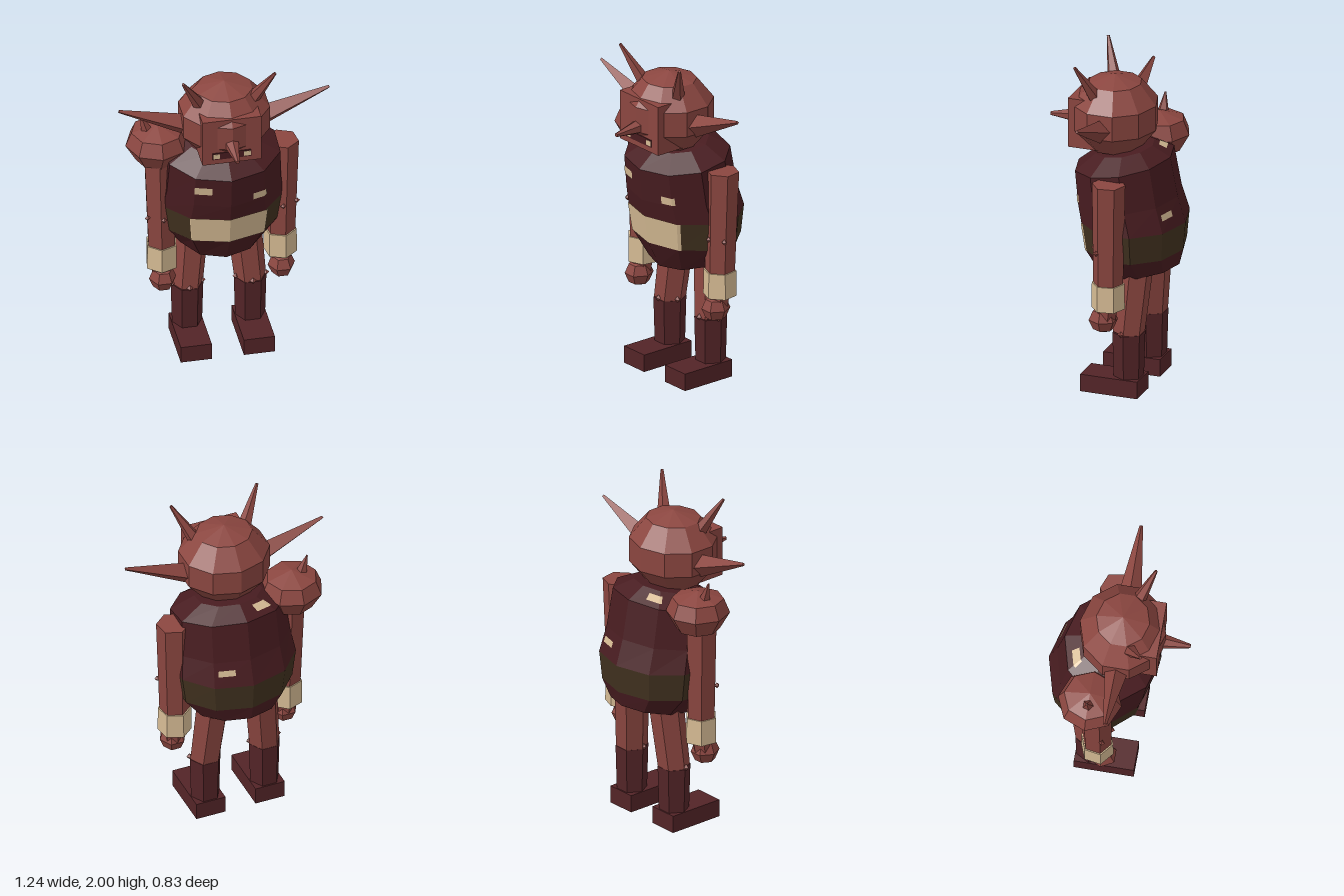
import * as THREE from 'three';

const mat = (name, color) => {
  const m = new THREE.MeshStandardMaterial({ color, flatShading: true });
  m.name = name;
  return m;
};

export function createModel() {
  const skin = mat('red skin', 0x8b4640);
  const shirt = mat('dark maroon cloth', 0x481c20);
  const boots = mat('maroon leather', 0x532427);
  const olive = mat('dark olive belt', 0x41311f);
  const cream = mat('cream cloth', 0xd6bb94);

  const model = new THREE.Group();
  model.name = 'hornedFigure';

  const add = (name, geo, material, x = 0, y = 0, z = 0, parent = model) => {
    const mesh = new THREE.Mesh(geo, material);
    mesh.name = name;
    mesh.position.set(x, y, z);
    parent.add(mesh);
    return mesh;
  };
  // Tapered rod between two points
  const rod = (name, material, from, to, r0, r1, sides, turn = 0, parent = model) => {
    const a = new THREE.Vector3(...from), b = new THREE.Vector3(...to);
    const dir = b.clone().sub(a);
    const geo = new THREE.CylinderGeometry(r1, r0, dir.length(), sides);
    geo.rotateY(turn);
    const mesh = add(name, geo, material, 0, 0, 0, parent);
    mesh.position.copy(a).add(b).multiplyScalar(0.5);
    mesh.quaternion.setFromUnitVectors(new THREE.Vector3(0, 1, 0), dir.normalize());
    return mesh;
  };

  // Torso cross-sections: x radius, z radius, height, z centre, forward tilt
  const rings = [
    [0, 0, 0.72, -0.14, 0.16],
    [0.25, 0.235, 0.72, -0.14, 0.16],
    [0.35, 0.288, 0.85, -0.11, 0],
    [0.373, 0.308, 1.02, -0.105, 0],
    [0.353, 0.295, 1.15, -0.07, 0.08],
    [0.342, 0.282, 1.365, -0.038, 0.16],
    [0.2, 0.17, 1.44, -0.04, 0.16],
    [0, 0, 1.46, -0.04, 0.16],
  ];
  const corner = (i, j, grow) => {
    const [rx, rz, y, zc, tilt] = rings[j];
    const a = i * Math.PI / 5, z = rz * Math.cos(a);
    return new THREE.Vector3(rx * Math.sin(a) * grow, y - tilt * z, zc + z * grow);
  };
  // Point on the ten-sided body: u counts sides from the front, v counts rings
  const onBody = (u, v, grow) => {
    const i = Math.floor(u), j = Math.min(Math.floor(v), rings.length - 2);
    const low = corner(i, j, grow).lerp(corner(i + 1, j, grow), u - i);
    const high = corner(i, j + 1, grow).lerp(corner(i + 1, j + 1, grow), u - i);
    return low.lerp(high, v - j);
  };
  // Stops between two values, breaking at each facet edge
  const stops = (a, b) => {
    const list = [a];
    for (let k = Math.floor(a) + 1; k < b; k++) list.push(k);
    return [...list, b];
  };
  const bodyPatch = (name, material, u0, u1, v0, v1, grow = 1) => {
    const pts = [], us = stops(u0, u1), vs = stops(v0, v1);
    for (let i = 0; i < us.length - 1; i++) {
      for (let j = 0; j < vs.length - 1; j++) {
        const a = onBody(us[i], vs[j], grow), b = onBody(us[i + 1], vs[j], grow);
        const c = onBody(us[i + 1], vs[j + 1], grow), d = onBody(us[i], vs[j + 1], grow);
        pts.push(a, b, c, a, c, d);
      }
    }
    const geo = new THREE.BufferGeometry().setFromPoints(pts);
    geo.computeVertexNormals();
    return add(name, geo, material);
  };

  bodyPatch('lowerTorso', shirt, 0, 10, 0, 2);
  bodyPatch('belt', olive, 0, 10, 2, 3);
  bodyPatch('upperTorso', shirt, 0, 10, 3, 7);
  bodyPatch('beltPlate', cream, -1.03, 1.1, 2, 3, 1.012);
  bodyPatch('chestPatchRight', cream, -1, -0.52, 4.43, 4.68, 1.012);
  bodyPatch('chestPatchLeft', cream, 0.66, 1.1, 4.05, 4.28, 1.012);
  bodyPatch('backPatch', cream, 4.12, 4.57, 3.45, 3.68, 1.012);
  bodyPatch('shoulderPatch', cream, 5.5, 6.1, 5.35, 5.75, 1.02);

  // Head
  const head = new THREE.Group();
  head.name = 'head';
  model.add(head);
  const skull = add('skull', new THREE.SphereGeometry(0.275, 10, 5), skin, 0, 1.638, 0.02, head);
  skull.rotation.y = Math.PI / 2;
  skull.scale.set(0.96, 0.88, 1.02);
  add('face', new THREE.BoxGeometry(0.345, 0.3, 0.185), skin, 0, 1.61, 0.153, head);
  rod('nose', skin, [0, 1.59, 0.23], [0, 1.578, 0.415], 0.048, 0.012, 6, 0, head);
  add('mouth', new THREE.BoxGeometry(0.225, 0.045, 0.006), shirt, 0, 1.515, 0.247, head);

  // Paired parts
  for (const s of [1, -1]) {
    const side = s > 0 ? 'left' : 'right';
    add(side + 'Tooth', new THREE.BoxGeometry(0.04, 0.03, 0.008), cream, s * 0.09, 1.515, 0.248, head);
    rod(side + 'Ear', skin, [s * 0.22, 1.605, 0.02], [s * 0.617, 1.75, 0.02], 0.07, 0.01, 4, 0, head);
    rod(side + 'Horn', skin, [s * 0.155, 1.78, 0.085], [s * 0.27, 1.995, 0.167], 0.042, 0.009, 5, 0, head);

    const arm = new THREE.Group();
    arm.name = side + 'Arm';
    model.add(arm);
    rod('armTube', skin, [s * 0.348, 0.7, -0.07], [s * 0.361, 1.345, -0.078], 0.087, 0.098, 6, s * 0.16, arm);
    rod('cuff', cream, [s * 0.348, 0.573, -0.07], [s * 0.348, 0.728, -0.07], 0.098, 0.096, 6, s * 0.16, arm);
    rod('wrist', skin, [s * 0.348, 0.51, -0.055], [s * 0.348, 0.6, -0.065], 0.06, 0.065, 6, 0, arm);
    const hand = add('hand', new THREE.SphereGeometry(0.08, 6, 4), skin, s * 0.348, 0.497, -0.04, arm);
    hand.scale.set(1, 1, 1.08);
    for (const [x, z] of [[0.35, 0.015], [0.438, -0.028]]) {
      add('elbowStud', new THREE.OctahedronGeometry(0.018), skin, s * x, 0.935, z, arm);
    }

    const leg = new THREE.Group();
    leg.name = side + 'Leg';
    model.add(leg);
    rod('thigh', skin, [s * 0.185, 0.37, -0.135], [s * 0.145, 0.83, -0.17], 0.093, 0.103, 6, Math.PI / 6, leg);
    rod('bootShaft', boots, [s * 0.185, 0.09, -0.135], [s * 0.185, 0.375, -0.135], 0.088, 0.096, 6, Math.PI / 6, leg);
    add('foot', new THREE.BoxGeometry(0.182, 0.105, 0.35), boots, s * 0.185, 0.0525, -0.045, leg);
    for (const [x, z] of [[0.185, -0.05], [0.275, -0.12], [0.098, -0.12]]) {
      add('kneeStud', new THREE.OctahedronGeometry(0.02), skin, s * x, 0.385, z, leg);
    }
  }

  // Swollen shoulder with a thorn
  const lump = [[0, 1.28], [0.125, 1.3], [0.185, 1.405], [0.15, 1.49], [0, 1.535]]
    .map(([r, y]) => new THREE.Vector2(r, y));
  add('shoulderLump', new THREE.LatheGeometry(lump, 8), skin, -0.367, 0, -0.11);
  rod('shoulderThorn', skin, [-0.425, 1.49, -0.11], [-0.463, 1.612, -0.112], 0.038, 0.005, 5);

  return model;
}
